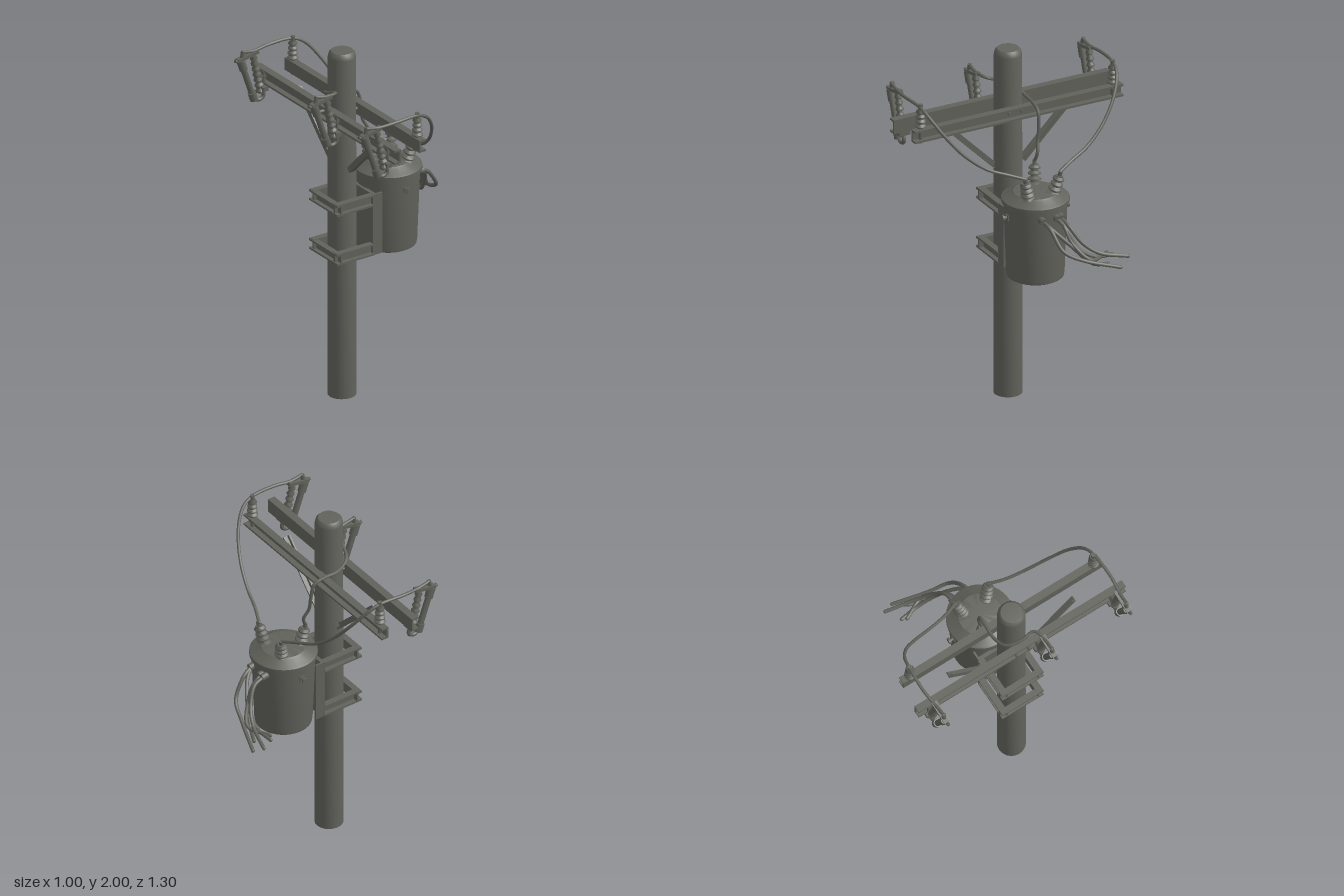
import * as THREE from 'three';
import { toCreasedNormals } from 'three/addons/utils/BufferGeometryUtils.js';

const steel = new THREE.MeshStandardMaterial({ color: 0x62625c });
steel.name = 'weathered grey';
const V = (x, y, z) => new THREE.Vector3(x, y, z);

export function createModel() {
  const root = new THREE.Group();
  root.name = 'transformerPole';

  const add = (name, geo, x = 0, y = 0, z = 0, parent = root) => {
    const m = new THREE.Mesh(geo, steel);
    m.name = name;
    m.position.set(x, y, z);
    parent.add(m);
    return m;
  };
  const box = (name, w, h, d, x, y, z, parent) => add(name, new THREE.BoxGeometry(w, h, d), x, y, z, parent);
  const lathe = (pts, sides = 24) =>
    toCreasedNormals(new THREE.LatheGeometry(pts.map(p => new THREE.Vector2(...p)), sides), 0.6);

  // Stand a part that grows along +y so that it runs from a towards b
  const aim = (mesh, a, b) => {
    mesh.position.copy(a);
    mesh.quaternion.setFromUnitVectors(V(0, 1, 0), b.clone().sub(a).normalize());
    return mesh;
  };
  const rod = (name, a, b, r, parent, sides = 10) => {
    const len = a.distanceTo(b);
    const geo = new THREE.CylinderGeometry(r, r, len, sides).translate(0, len / 2, 0);
    return aim(add(name, geo, 0, 0, 0, parent), a, b);
  };

  // Ribbed insulator: a core with evenly spaced sheds
  const insulator = (name, a, b, core, shed, count, parent) => {
    const len = a.distanceTo(b), step = len / count, pts = [[0, 0], [core, 0]];
    for (let i = 0; i < count; i++) {
      const y = i * step, r = shed * (1 - 0.25 * i / count);
      pts.push([core, y + step * 0.2], [r, y + step * 0.3], [r, y + step * 0.5], [core, y + step * 0.9]);
    }
    pts.push([core, len], [0, len]);
    return aim(add(name, lathe(pts, 16), 0, 0, 0, parent), a, b);
  };

  const wire = (name, pts, r = 0.009, parent = root) => {
    const curve = new THREE.CatmullRomCurve3(pts.map(p => V(...p)));
    add(name, new THREE.TubeGeometry(curve, 48, r, 8), 0, 0, 0, parent);
    for (const p of [pts[0], pts[pts.length - 1]]) add(name + 'End', new THREE.SphereGeometry(r, 8, 6), ...p, parent);
  };

  // C-section beam along z, web at x = 0 and flanges towards +x
  const channel = (name, w, h, len, t, x, y, z, turn) => {
    const s = new THREE.Shape();
    [[0, -h / 2], [w, -h / 2], [w, -h / 2 + t], [t, -h / 2 + t], [t, h / 2 - t], [w, h / 2 - t], [w, h / 2], [0, h / 2]]
      .forEach(([px, py], i) => (i ? s.lineTo(px, py) : s.moveTo(px, py)));
    const geo = new THREE.ExtrudeGeometry(s, { depth: len, bevelEnabled: false }).translate(0, 0, -len / 2);
    add(name, geo, x, y, z).rotation.y = turn;
  };

  // Pole with a rounded top
  add('pole', lathe([[0, 0], [0.077, 0], [0.075, 1.965], [0.07, 1.985], [0.058, 1.997], [0, 2]], 28), -0.215, 0, 0.003);

  // Crossarms either side of the pole, with through bolts
  channel('backCrossarm', 0.042, 0.08, 1.3, 0.011, -0.284, 1.65, 0, Math.PI);
  channel('frontCrossarm', 0.042, 0.07, 1.25, 0.011, -0.146, 1.655, -0.005, 0);
  for (const z of [-0.035, 0.04]) rod('armBolt', V(-0.34, 1.655, z), V(-0.122, 1.655, z), 0.01);

  // Diagonal angle braces
  for (const s of [-1, 1]) {
    const brace = new THREE.Group();
    brace.name = 'brace';
    brace.position.set(-0.215, 1.485, s * 0.235);
    brace.rotation.x = s * Math.PI / 4;
    root.add(brace);
    box('braceFlange', 0.032, 0.43, 0.009, 0, 0, s * 0.01, brace);
    box('braceRib', 0.009, 0.43, 0.03, -0.012, 0, 0, brace);
  }

  // Tank mounting frame: rails, back clamps and upright plate
  for (const y of [0.852, 1.137]) {
    for (const s of [-1, 1]) {
      channel('mountRail', 0.036, 0.066, 0.235, 0.01, -0.2125, y, s * 0.093, -s * Math.PI / 2);
    }
    channel('backClamp', 0.034, 0.06, 0.26, 0.01, -0.3, y, 0, Math.PI);
  }
  box('mountPlate', 0.022, 0.352, 0.25, -0.088, 0.995, 0);
  for (const s of [-1, 1]) box('mountUpright', 0.05, 0.352, 0.012, -0.065, 0.995, s * 0.119);

  // Transformer tank, lid and side fittings
  const tx = 0.082;
  add('tank', lathe([[0, 0.803], [0.142, 0.803], [0.151, 0.808], [0.154, 0.825], [0.17, 1.245], [0, 1.245]], 40), tx);
  add('tankLid', lathe([[0, 1.235], [0.181, 1.235], [0.181, 1.256], [0.172, 1.262], [0.125, 1.284], [0.118, 1.29], [0, 1.296]], 40), tx);
  for (const s of [-1, 1]) {
    rod('liftingLug', V(tx, 1.17, s * 0.155), V(tx, 1.17, s * 0.198), 0.009);
    rod('liftingLugHead', V(tx, 1.17, s * 0.188), V(tx, 1.17, s * 0.2), 0.017);
    box('liftingLugBase', 0.032, 0.03, 0.012, tx, 1.17, s * 0.168);
  }

  // High voltage bushings on the lid
  const bushings = [
    [V(0.0, 1.27, -0.038), V(-0.02, 1.39, -0.05)],
    [V(0.145, 1.27, -0.07), V(0.168, 1.39, -0.098)],
    [V(0.145, 1.27, 0.075), V(0.165, 1.39, 0.105)]
  ];
  for (const [a, b] of bushings) {
    insulator('highVoltageBushing', a, b, 0.02, 0.039, 4);
    rod('bushingTerminal', b, b.clone().lerp(a, -0.2), 0.011);
  }

  // Low voltage terminals and the loose leads hanging from them
  for (const z of [-0.06, -0.035, 0.05]) rod('lowVoltageTerminal', V(0.225, 1.195, z), V(0.268, 1.188, z), 0.02, root, 14);
  const leads = [
    [[0.25, 1.19, 0.05], [0.31, 1.165, 0.035], [0.39, 1.06, 0.0], [0.425, 1.0, -0.1], [0.488, 0.945, -0.29]],
    [[0.25, 1.19, -0.06], [0.32, 1.165, -0.07], [0.38, 1.08, -0.12], [0.42, 1.02, -0.2], [0.46, 0.985, -0.35]],
    [[0.25, 1.19, -0.035], [0.32, 1.15, -0.055], [0.37, 1.05, -0.1], [0.39, 0.99, -0.19], [0.38, 0.975, -0.3]],
    [[0.25, 1.185, -0.055], [0.31, 1.16, -0.05], [0.36, 1.08, -0.07], [0.42, 0.99, -0.15], [0.365, 0.985, -0.275]],
    [[0.25, 1.19, 0.05], [0.3, 1.155, 0.02], [0.36, 1.07, -0.06], [0.41, 0.96, -0.17], [0.445, 0.96, -0.24]]
  ];
  leads.forEach(p => wire('lowVoltageLead', p, 0.0105));

  // Pin insulators at the ends of the front crossarm
  for (const z of [-0.578, 0.574]) {
    rod('insulatorPin', V(-0.128, 1.61, z), V(-0.128, 1.72, z), 0.011);
    insulator('pinInsulator', V(-0.128, 1.695, z), V(-0.128, 1.805, z), 0.017, 0.03, 4);
    rod('insulatorCap', V(-0.128, 1.8, z), V(-0.128, 1.832, z), 0.013);
  }

  // Fuse cutouts hung from the back crossarm
  for (const z of [-0.575, 0.105, 0.57]) {
    const c = new THREE.Group();
    c.name = 'fuseCutout';
    c.position.z = z;
    root.add(c);
    insulator('cutoutInsulator', V(-0.335, 1.56, 0), V(-0.385, 1.79, 0), 0.015, 0.026, 7, c);
    rod('fuseTube', V(-0.385, 1.55, 0), V(-0.46, 1.765, 0), 0.017, c, 14);
    rod('fuseLowerCap', V(-0.378, 1.53, 0), V(-0.394, 1.576, 0), 0.023, c, 14);
    rod('fuseUpperCap', V(-0.445, 1.722, 0), V(-0.466, 1.782, 0), 0.023, c, 14);
    box('topContact', 0.13, 0.018, 0.032, -0.42, 1.795, 0, c).rotation.z = 0.2;
    rod('topTerminal', V(-0.455, 1.79, 0), V(-0.448, 1.83, 0), 0.012, c);
    rod('pullRing', V(-0.455, 1.765, 0), V(-0.5, 1.785, 0), 0.009, c);
    wire('hingeArm', [[-0.392, 1.565, 0], [-0.37, 1.528, 0], [-0.34, 1.522, 0], [-0.318, 1.54, 0], [-0.33, 1.585, 0]], 0.011, c);
    box('hingeYoke', 0.035, 0.024, 0.068, -0.325, 1.587, 0, c);
    box('armBracket', 0.05, 0.016, 0.03, -0.335, 1.655, 0, c);
    box('armBracketPlate', 0.01, 0.07, 0.04, -0.325, 1.65, 0, c);
  }

  // Jumpers from the outer cutouts over the pin insulators to the tank
  for (const s of [-1, 1]) {
    wire('outerJumper', [[-0.45, 1.825, s * 0.575], [-0.38, 1.812, s * 0.577], [-0.28, 1.818, s * 0.588], [-0.128, 1.818, s * 0.58],
      [-0.06, 1.785, s * 0.565], [0.005, 1.7, s * 0.515], [0.06, 1.58, s * 0.42], [0.1, 1.485, s * 0.3],
      [0.13, 1.44, s * 0.19], [0.167, 1.41, s * 0.102]]);
  }

  // Centre jumper passing behind the pole
  wire('centreJumper', [[-0.45, 1.825, 0.105], [-0.38, 1.812, 0.105], [-0.31, 1.805, 0.085], [-0.306, 1.775, 0.01],
    [-0.275, 1.74, -0.07], [-0.2, 1.705, -0.094], [-0.12, 1.7, -0.092], [-0.055, 1.68, -0.088], [-0.035, 1.6, -0.085],
    [-0.03, 1.52, -0.075], [-0.005, 1.46, -0.06], [-0.023, 1.405, -0.052]]);

  return root;
}
